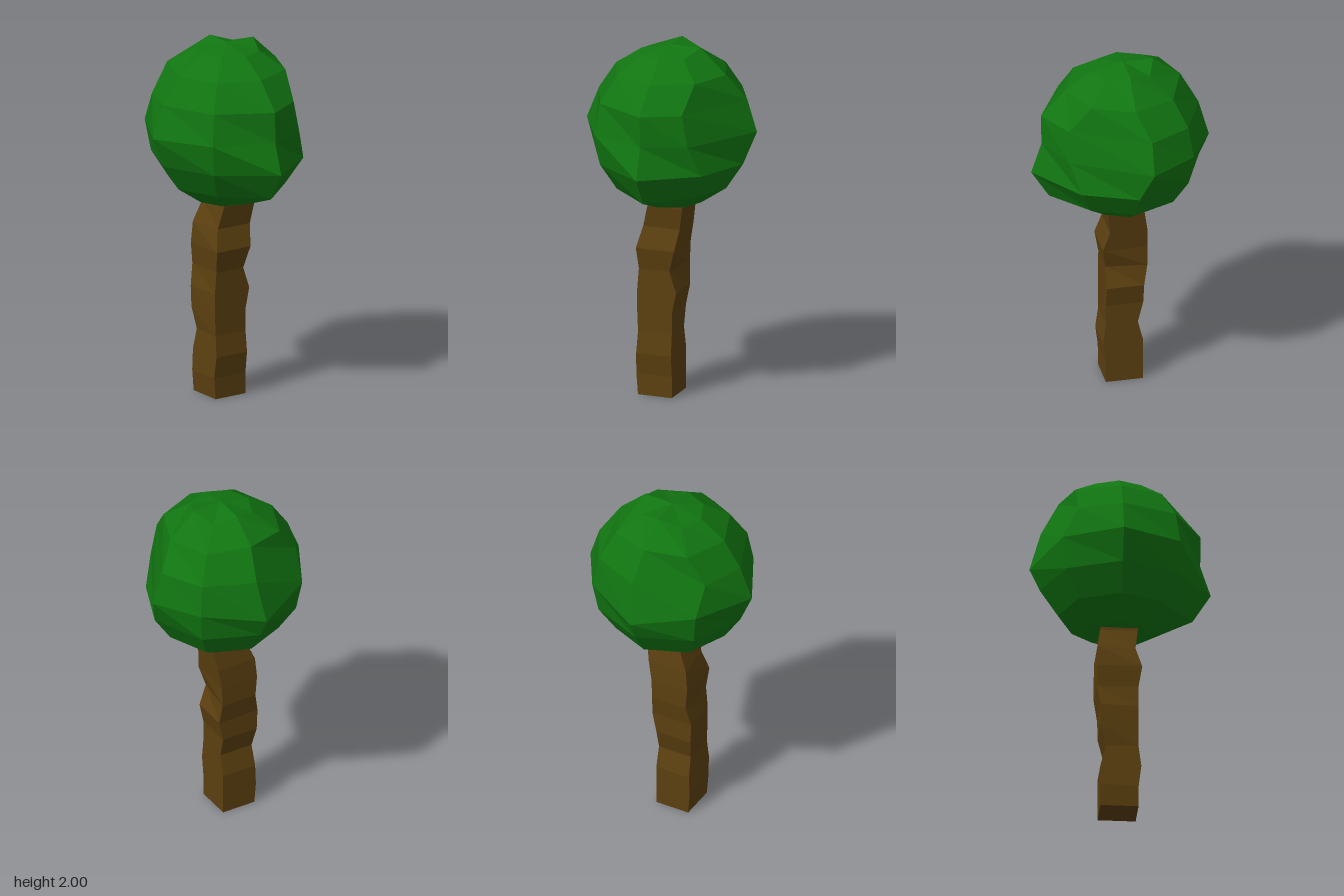
import * as THREE from 'three';

// Joins stacked rings of points (listed clockwise seen from above, bottom ring first) and closes both ends.
function stackRings(rings, bottom, top) {
  const n = rings[0].length;
  const points = [...rings.flat(), bottom, top];
  const b = points.length - 2, t = b + 1, last = (rings.length - 1) * n;
  const index = [];
  for (let i = 0; i < n; i++) {
    const j = (i + 1) % n;
    index.push(b, i, j, t, last + j, last + i);
    for (let r = 0; r < rings.length - 1; r++) {
      const lo = r * n, hi = lo + n;
      index.push(lo + i, hi + i, hi + j, lo + i, hi + j, lo + j);
    }
  }
  const g = new THREE.BufferGeometry();
  g.setAttribute('position', new THREE.Float32BufferAttribute(points.flat(), 3));
  g.setIndex(index);
  const flat = g.toNonIndexed();
  flat.computeVertexNormals();
  return flat;
}

function part(name, geometry, color) {
  const mesh = new THREE.Mesh(geometry, new THREE.MeshStandardMaterial({ color, flatShading: true }));
  mesh.name = name;
  return mesh;
}

// Leaf ball: an eight-sided, eight-band sphere with some corners pulled out of place
function canopyGeometry() {
  const R = 0.46, cx = 0.008, cy = 1.535, cz = -0.018;
  // keys: ring (1 low .. 7 high), column (0 = +x, 2 = front, 4 = -x, 6 = back)
  const moved = {
    '2,2': [0.008, 1.2, 0.4],
    '3,2': [0.008, 1.36, 0.5],
    '4,0': [0.487, 1.53, -0.09],
    '4,1': [0.245, 1.53, 0.335],
    '4,4': [-0.49, 1.53, -0.018],
    '4,6': [0.005, 1.48, -0.5],
    '5,0': [0.43, 1.71, -0.09],
    '5,1': [0.21, 1.71, 0.33],
    '5,2': [0.005, 1.71, 0.445],
    '5,5': [-0.33, 1.71, -0.255],
    '5,6': [0.03, 1.71, -0.435],
    '6,5': [-0.22, 1.87, -0.265],
    '6,6': [0.008, 1.885, -0.338],
    '7,0': [0.183, 2.0, -0.018],
    '7,6': [0.008, 2.0, -0.185],
  };
  const rings = [];
  for (let r = 1; r <= 7; r++) {
    const lat = (r / 8 - 0.5) * Math.PI;
    const ring = [];
    for (let c = 0; c < 8; c++) {
      const a = c * Math.PI / 4, d = R * Math.cos(lat);
      ring.push(moved[`${r},${c}`] ||
        [cx + d * Math.cos(a), cy + R * Math.sin(lat), cz + d * Math.sin(a)]);
    }
    rings.push(ring);
  }
  return stackRings(rings, [cx, 1.095, cz], [cx, 2.0, cz]);
}

// Trunk: a square post in ten steps with uneven sides
function trunkGeometry() {
  // each level: left x, right x, front z, back z, extra x shift of front-left and back-right corners
  const levels = [
    [-0.145, 0.055, 0.09, -0.12, 0, 0],
    [-0.155, 0.055, 0.09, -0.12, 0, 0],
    [-0.15, 0.055, 0.105, -0.12, 0, 0],
    [-0.145, 0.055, 0.09, -0.09, 0, 0],
    [-0.16, 0.055, 0.09, -0.12, 0.01, 0],
    [-0.165, 0.08, 0.09, -0.12, 0.015, 0],
    [-0.14, 0.04, 0.09, -0.14, 0, 0.03],
    [-0.15, 0.075, 0.11, -0.14, 0, 0],
    [-0.14, 0.095, 0.075, -0.135, 0.02, 0],
    [-0.09, 0.115, 0.09, -0.115, 0, 0],
    [-0.09, 0.115, 0.09, -0.115, 0, 0],
  ];
  const rings = levels.map(([l, r, f, b, fl, br], i) => {
    const y = i * 0.121;
    return [[r, y, f], [l + fl, y, f], [l, y, b], [r + br, y, b]];
  });
  return stackRings(rings, [-0.045, 0, -0.015], [0.01, 1.21, -0.015]);
}

export function createModel() {
  const tree = new THREE.Group();
  tree.name = 'tree';
  tree.add(part('trunk', trunkGeometry(), 0x5c4010));
  tree.add(part('canopy', canopyGeometry(), 0x117511));
  return tree;
}
